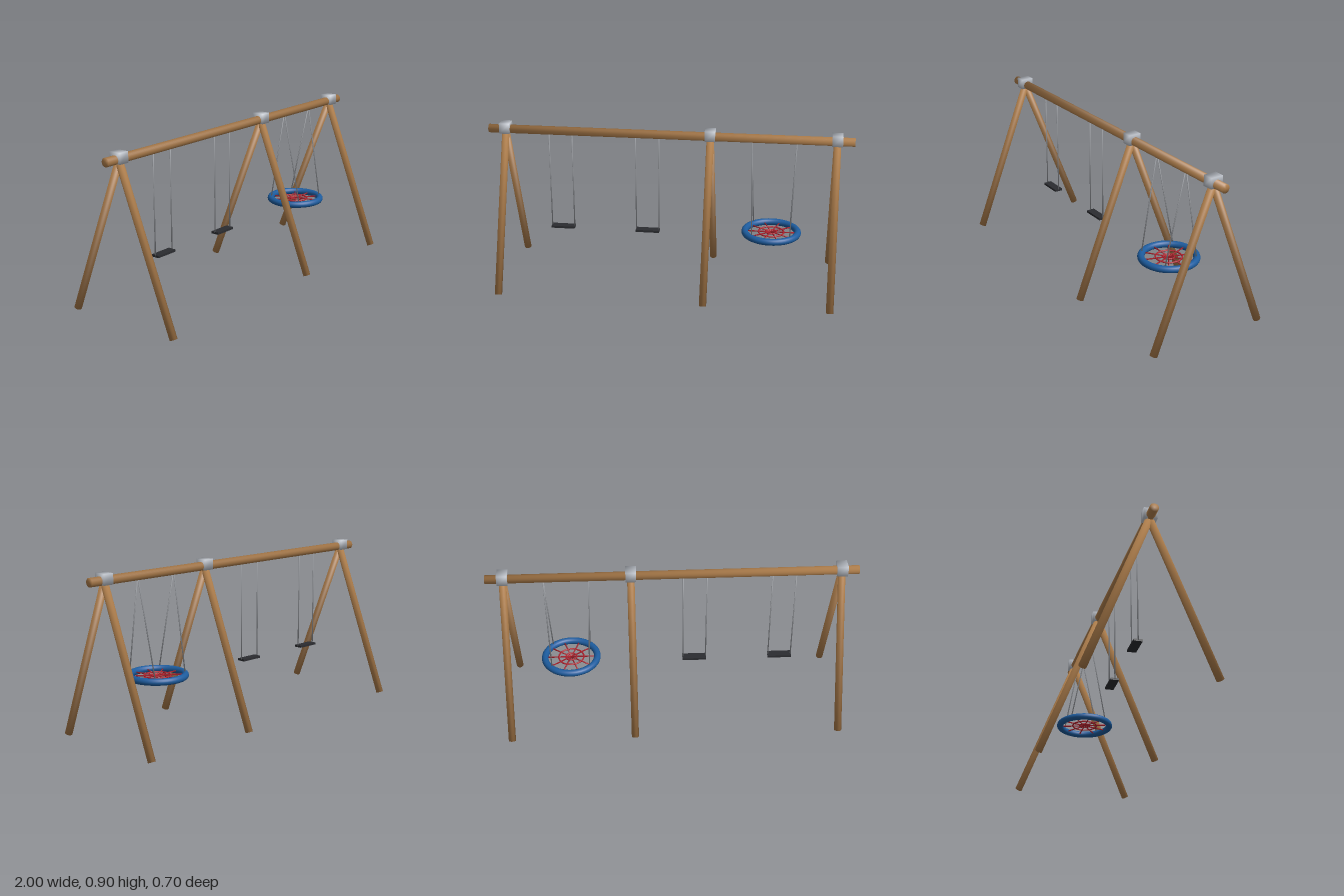
import * as THREE from 'three';

const mat = (name, color) => {
  const m = new THREE.MeshStandardMaterial({ color });
  m.name = name;
  return m;
};

// Soft shading: normals lean outwards at every rim and corner
const soften = (geometry, rule) => {
  const p = geometry.attributes.position, n = new THREE.Vector3();
  for (let i = 0; i < p.count; i++) {
    n.fromBufferAttribute(p, i);
    rule(n);
    n.normalize();
    geometry.attributes.normal.setXYZ(i, n.x, n.y, n.z);
  }
  return geometry;
};

export function createModel() {
  const wood = mat('wood', 0xad7d4b);
  const steel = mat('bracket steel', 0xbcc1c9);
  const chain = mat('chain grey', 0x8f9297);
  const rubber = mat('seat rubber', 0x2b2c30);
  const blue = mat('ring blue', 0x1d5c9e);
  const red = mat('net red', 0xb3222e);

  const model = new THREE.Group();
  model.name = 'swingSet';

  const add = (parent, name, geometry, material, x = 0, y = 0, z = 0) => {
    const mesh = new THREE.Mesh(geometry, material);
    mesh.name = name;
    mesh.position.set(x, y, z);
    parent.add(mesh);
    return mesh;
  };
  // Round bar between two points
  const bar = (parent, name, a, b, radius, material, sides) => {
    const from = new THREE.Vector3(...a), to = new THREE.Vector3(...b);
    const dir = to.clone().sub(from);
    const geometry = new THREE.CylinderGeometry(radius, radius, dir.length(), sides);
    soften(geometry, n => n.set(n.x / radius, Math.sign(n.y), n.z / radius));
    const mesh = add(parent, name, geometry, material);
    mesh.position.copy(from).add(to).multiplyScalar(0.5);
    mesh.quaternion.setFromUnitVectors(new THREE.Vector3(0, 1, 0), dir.normalize());
  };

  const beamY = 0.862;
  bar(model, 'topBeam', [-1, beamY, 0], [1, beamY, 0], 0.0235, wood, 24);

  // Three A-frames with a bracket block on top
  for (const x of [-0.907, 0.226, 0.907]) {
    const frame = new THREE.Group();
    frame.name = 'aFrame';
    model.add(frame);
    for (const s of [1, -1]) {
      bar(frame, s > 0 ? 'frontLeg' : 'backLeg', [x, 0.0075, s * 0.333], [x, 0.853, 0], 0.02, wood, 24);
    }
    const block = soften(new THREE.BoxGeometry(0.057, 0.057, 0.07), n => n.set(Math.sign(n.x), Math.sign(n.y), Math.sign(n.z)));
    add(frame, 'bracket', block, steel, x, 0.8715, 0);
  }

  // Two flat-seat swings
  for (const x of [-0.601, -0.119]) {
    const swing = new THREE.Group();
    swing.name = 'flatSwing';
    model.add(swing);
    for (const s of [-1, 1]) {
      bar(swing, 'chain', [x + s * 0.064, 0.297, 0], [x + s * 0.064, beamY, 0], 0.0033, chain, 8);
    }
    add(swing, 'seat', new THREE.BoxGeometry(0.132, 0.012, 0.0465), rubber, x, 0.297, 0);
  }

  // Nest swing: padded ring, woven net, four chains
  const nest = new THREE.Group();
  nest.name = 'nestSwing';
  nest.position.set(0.572, 0.323, 0);
  model.add(nest);
  const R = 0.146;
  const hoop = (name, radius, tube, material, sides) => {
    add(nest, name, new THREE.TorusGeometry(radius, tube, sides, 48), material).rotation.x = Math.PI / 2;
  };
  hoop('nestRing', R, 0.0188, blue, 16);
  hoop('netOuterLoop', 0.07, 0.0042, red, 8);
  hoop('netInnerLoop', 0.03, 0.0042, red, 8);
  const spokes = 10;
  for (let i = 0; i < spokes; i++) {
    const a = (i / spokes) * Math.PI * 2;
    bar(nest, 'netSpoke', [0, 0, 0], [Math.cos(a) * R, 0, Math.sin(a) * R], 0.0037, red, 8);
  }
  for (const sx of [-1, 1]) {
    for (const sz of [-1, 1]) {
      bar(nest, 'nestChain', [sx * 0.103, 0, sz * 0.103], [sx * 0.122, beamY - 0.323, 0], 0.0033, chain, 8);
    }
  }
  return model;
}
